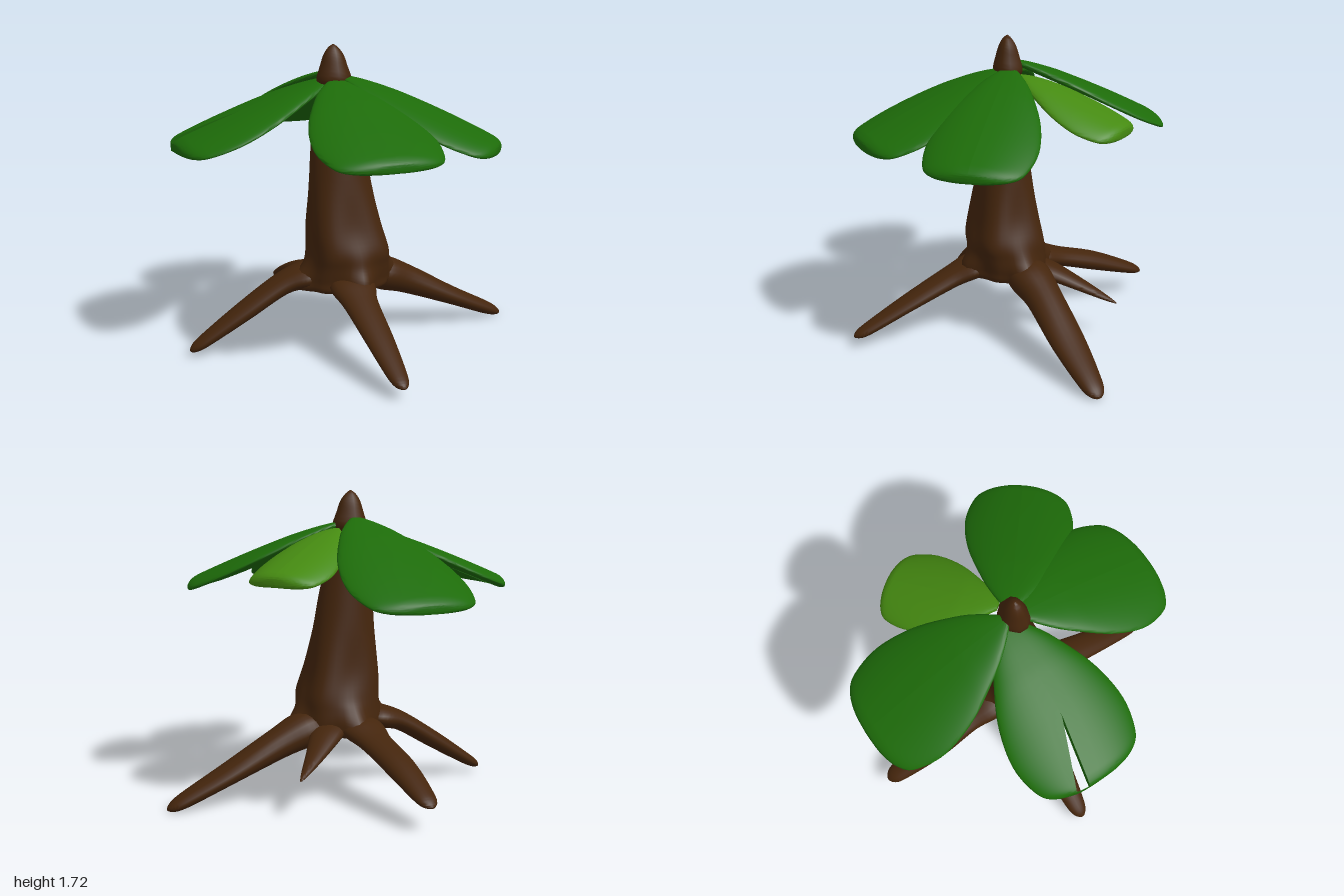
import * as THREE from 'three';
import { toCreasedNormals } from 'three/addons/utils/BufferGeometryUtils.js';

const V = (x, y, z) => new THREE.Vector3(x, y, z);
const bark = new THREE.MeshStandardMaterial({ color: 0x44250c });
const green = new THREE.MeshStandardMaterial({ color: 0x1d6b09 });
const lime = new THREE.MeshStandardMaterial({ color: 0x458a11 });

// Skin rings (counter-clockwise about the direction of travel) and cap both ends
function loft(rings, name, material, closed = true) {
  const n = rings[0].length, pos = [], index = [];
  const edges = closed ? n : n - 1;
  rings.forEach(r => r.forEach(p => pos.push(p.x, p.y, p.z)));
  for (let i = 0; i < rings.length - 1; i++) {
    for (let j = 0; j < edges; j++) {
      const a = i * n + j, b = i * n + (j + 1) % n;
      index.push(a, b, a + n, b, b + n, a + n);
    }
  }
  [0, rings.length - 1].forEach((i, end) => {
    const c = V(0, 0, 0);
    rings[i].forEach(p => c.addScaledVector(p, 1 / n));
    const centre = pos.length / 3;
    pos.push(c.x, c.y, c.z);
    for (let j = 0; j < n; j++) {
      const a = i * n + j, b = i * n + (j + 1) % n;
      if (end) index.push(a, b, centre); else index.push(b, a, centre);
    }
  });
  const geo = new THREE.BufferGeometry();
  geo.setAttribute('position', new THREE.Float32BufferAttribute(pos, 3));
  geo.setIndex(index);
  const mesh = new THREE.Mesh(toCreasedNormals(geo, 1.25), material);
  mesh.name = name;
  return mesh;
}

const spline = pts => new THREE.CatmullRomCurve3(pts, false, 'catmullrom', 0.5);

// Upright body: rows of [y, centre x, centre z, radius x, radius z, swelling towards the four roots]
function column(rows, name, sides, steps) {
  const centre = spline(rows.map(r => V(r[1], r[0], r[2])));
  const radius = spline(rows.map(r => V(r[3], r[5] || 0, r[4])));
  const rings = [];
  for (let i = 0; i <= steps; i++) {
    const c = centre.getPoint(i / steps), r = radius.getPoint(i / steps);
    const web = 0.27 * (1 - THREE.MathUtils.smoothstep(c.y, 0.45, 1.1)); // webbing between the roots
    rings.push(Array.from({ length: sides }, (_, j) => {
      const a = j / sides * Math.PI * 2;
      const lobe = r.y * (0.5 + 0.5 * Math.cos(4 * a)) ** 2;
      const k = 1 + web * Math.sin(2 * a) ** 2;
      return V(c.x + (r.x * k + lobe) * Math.sin(a), c.y, c.z + (r.z * k + lobe) * Math.cos(a));
    }));
  }
  return loft(rings, name, bark);
}

// Root: rows of [x, y, z, half width, half height], rounded off at the tip
function root(rows, name) {
  const path = spline(rows.map(r => V(r[0], r[1], r[2])));
  const size = spline(rows.map(r => V(r[3], r[4], 0)));
  const rings = [], steps = 40, sides = 20;
  for (let i = 0; i <= steps; i++) {
    const t = 1 - (1 - i / steps) ** 1.8;
    const p = path.getPoint(t), d = path.getTangent(t), s = size.getPoint(t);
    const side = V(0, 1, 0).cross(d).normalize(), up = d.clone().cross(side);
    const k = Math.sqrt(Math.max(0.001, 1 - t ** 14));
    rings.push(Array.from({ length: sides }, (_, j) => {
      const a = j / sides * Math.PI * 2;
      return p.clone().addScaledVector(side, s.x * k * Math.cos(a)).addScaledVector(up, s.y * k * Math.sin(a));
    }));
  }
  return loft(rings, name, bark);
}

// Half outline of a leaf as (half width, distance along), both from 0 to 1
const outline = new THREE.SplineCurve([
  [0.1, 0], [0.34, 0.1], [0.56, 0.22], [0.87, 0.45], [1, 0.68], [0.9, 0.87], [0.7, 0.95], [0.38, 0.99], [0.02, 1],
].map(p => new THREE.Vector2(...p))).getPoints(48);

// Leaf of two halves that meet along the midrib, or stand open along a slit near the end
function leaf({ name, base, heading, length, width, drop, material = green, gap = 0, skew = 0 }) {
  const group = new THREE.Group();
  group.name = name;
  for (const s of [1, -1]) {
    const rings = outline.map(({ x: w, y: t }) => {
      const open = Math.max(0, (t - 0.6) / 0.4);
      const outer = s * w * width;
      let inner = skew * open + s * gap * open;
      if (inner * s > outer * s * 0.95) inner = outer * 0.95;
      const h = 0.037 * Math.min(1, Math.sqrt(w * 1.4));
      const y = -drop * (0.82 * t + 0.18 * t * t);
      return Array.from({ length: 25 }, (_, j) => {
        const a = (j / 24 - 0.5) * Math.PI;
        const u = inner + (outer - inner) * Math.max(0, Math.cos(a)) ** 0.7;
        const droop = 0.05 * (u / width) ** 2;
        return V(u, y - droop + s * h * Math.sin(a), t * length);
      });
    });
    group.add(loft(rings, 'leafHalf', material, gap > 0));
  }
  group.position.set(...base);
  group.rotation.y = heading;
  return group;
}

export function createModel() {
  const model = new THREE.Group();
  model.name = 'tree';

  // Trunk flaring towards the roots, and the bud on top
  model.add(column([
    [0.335, -0.06, 0.01, 0.1, 0.08, 0.03], [0.36, -0.06, 0.01, 0.2, 0.17, 0.1], [0.42, -0.055, 0.015, 0.21, 0.175, 0.11],
    [0.5, -0.05, 0.025, 0.205, 0.18, 0.06], [0.58, -0.05, 0.035, 0.205, 0.185, 0.025], [0.72, -0.07, 0.03, 0.198, 0.17],
    [0.95, -0.085, 0.02, 0.178, 0.147], [1.17, -0.095, 0.01, 0.155, 0.122], [1.4, -0.105, -0.015, 0.11, 0.085],
    [1.52, -0.11, -0.02, 0.075, 0.06],
  ], 'trunk', 48, 45));
  model.add(column([
    [1.5, -0.105, -0.015, 0.085, 0.065], [1.54, -0.105, -0.015, 0.1, 0.08], [1.61, -0.107, -0.015, 0.078, 0.065],
    [1.67, -0.108, -0.015, 0.058, 0.047], [1.71, -0.11, -0.015, 0.03, 0.025], [1.73, -0.11, -0.015, 0.003, 0.003],
  ], 'bud', 10, 15));

  // Roots
  const roots = {
    leftRoot: [[0.06, 0.41, -0.02, 0.1, 0.06], [0.18, 0.385, -0.02, 0.13, 0.1], [0.35, 0.32, -0.03, 0.108, 0.085],
      [0.65, 0.18, -0.03, 0.1, 0.055], [0.9, 0.065, -0.03, 0.07, 0.04], [1, 0.02, -0.03, 0.05, 0.025]],
    frontRoot: [[-0.08, 0.42, 0.12, 0.1, 0.04], [-0.09, 0.395, 0.22, 0.13, 0.06], [-0.1, 0.34, 0.36, 0.1, 0.052],
      [-0.105, 0.225, 0.62, 0.08, 0.04], [-0.11, 0.11, 0.86, 0.055, 0.03], [-0.11, 0.075, 0.945, 0.035, 0.02]],
    rightRoot: [[-0.18, 0.43, -0.02, 0.1, 0.05], [-0.28, 0.42, -0.03, 0.14, 0.07], [-0.42, 0.38, -0.04, 0.105, 0.057],
      [-0.65, 0.24, -0.05, 0.085, 0.05], [-0.87, 0.1, -0.06, 0.06, 0.035], [-0.96, 0.045, -0.06, 0.04, 0.025]],
    backRoot: [[-0.08, 0.42, -0.1, 0.1, 0.04], [-0.1, 0.395, -0.2, 0.13, 0.065], [-0.11, 0.35, -0.35, 0.1, 0.055],
      [-0.13, 0.27, -0.6, 0.09, 0.055], [-0.13, 0.18, -0.85, 0.065, 0.035], [-0.13, 0.145, -0.94, 0.045, 0.02]],
    smallRoot: [[0.05, 0.4, -0.1, 0.1, 0.05], [0.13, 0.37, -0.19, 0.09, 0.045], [0.25, 0.305, -0.32, 0.055, 0.03],
      [0.4, 0.225, -0.47, 0.014, 0.01]],
  };
  for (const name in roots) model.add(root(roots[name], name));

  // Crown of leaves
  const crown = [
    { name: 'frontLeaf', base: [-0.115, 1.53, 0.02], heading: 0, length: 0.84, width: 0.345, drop: 0.33 },
    { name: 'backLeaf', base: [-0.115, 1.57, -0.07], heading: Math.PI, length: 0.88, width: 0.345, drop: 0.4 },
    { name: 'rightLeaf', base: [-0.1, 1.53, -0.075], heading: -Math.PI / 2, length: 0.9, width: 0.345, drop: 0.335,
      gap: 0.04, skew: -0.1 },
    { name: 'frontLeftLeaf', base: [-0.06, 1.545, -0.01], heading: 0.9, length: 0.89, width: 0.3, drop: 0.36 },
    { name: 'youngLeaf', base: [-0.01, 1.51, -0.05], heading: 2.18, length: 0.65, width: 0.23, drop: 0.23,
      material: lime },
  ];
  crown.forEach(part => model.add(leaf(part)));
  return model;
}
